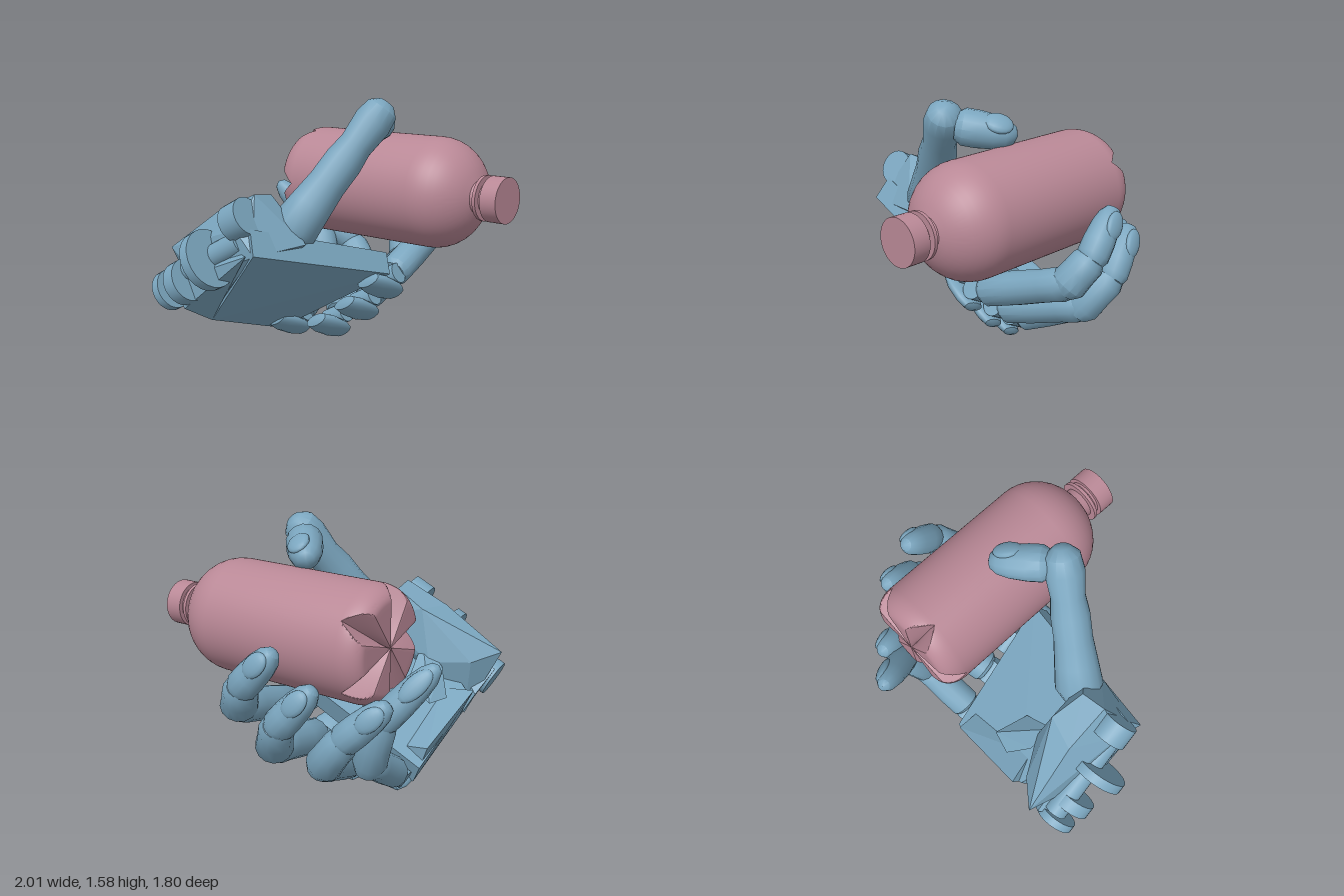
import * as THREE from 'three';
import { toCreasedNormals } from 'three/addons/utils/BufferGeometryUtils.js';
import { ConvexGeometry } from 'three/addons/geometries/ConvexGeometry.js';

const V = (p) => new THREE.Vector3(...p);
const blue = new THREE.MeshStandardMaterial({ color: 0x7ba6bf });
const pink = new THREE.MeshStandardMaterial({ color: 0xb98896 });

// Directions of the hand: across the knuckles, and out of the palm
const ACROSS = V([0.1, 0.47, 0.87]).normalize();
const PALM = V([0.31, 0.835, -0.455]).normalize();

function mesh(name, geometry, material = blue) {
  const m = new THREE.Mesh(geometry, material);
  m.name = name;
  return m;
}

function hull(name, points) {
  return mesh(name, new ConvexGeometry(points.map(V)));
}

function lathe(profile, sides, crease = 0.6) {
  const g = new THREE.LatheGeometry(profile.map((p) => new THREE.Vector2(...p)), sides);
  return toCreasedNormals(g, crease);
}

// Group at a, with y along the bone to b and z towards the outside of the finger
function bone(name, a, b, outward) {
  const g = new THREE.Group();
  const y = b.clone().sub(a).normalize();
  const z = outward.clone().addScaledVector(y, -outward.dot(y)).normalize();
  const x = y.clone().cross(z);
  g.quaternion.setFromRotationMatrix(new THREE.Matrix4().makeBasis(x, y, z));
  g.position.copy(a);
  g.name = name;
  return g;
}

// Round segment; profile gives [radius, fraction of length]
function segment(name, a, b, outward, profile, depth = 1) {
  const g = bone(name, a, b, outward);
  const len = a.distanceTo(b);
  const m = mesh(name + 'Shell', lathe(profile.map(([r, t]) => [r, t * len]), 14, 0.7));
  m.scale.z = depth;
  g.add(m);
  return g;
}

// Fingertip with a nail plate
function tip(name, a, b, outward, r) {
  const g = segment(name, a, b, outward,
    [[0, -0.12], [r * 0.8, -0.1], [r * 1.05, 0.05], [r * 1.05, 0.35], [r * 0.95, 0.72],
      [r * 0.77, 0.97], [r * 0.45, 1.13], [0, 1.18]], 0.95);
  const nail = mesh('nail', new THREE.SphereGeometry(1, 16, 10));
  const len = a.distanceTo(b);
  nail.scale.set(r * 0.68, len * 0.31, r * 0.3);
  nail.position.set(0, len * 0.76, r * 0.7);
  nail.rotation.x = -0.14;
  g.add(nail);
  return g;
}

// Pin or plate whose axis crosses the hand
function pin(name, p, r, len) {
  const m = mesh(name, toCreasedNormals(new THREE.CylinderGeometry(r, r, len, 24), 0.6));
  m.quaternion.setFromUnitVectors(new THREE.Vector3(0, 1, 0), ACROSS);
  m.position.copy(p);
  return m;
}

function finger(name, points, outward, r) {
  const g = new THREE.Group();
  g.name = name;
  const [mcp, pip, dip, end] = points.map(V);
  const out = V(outward);
  const start = mcp.clone().lerp(pip, 0.07);
  g.add(segment('proximal', start, pip, PALM.clone().negate(),
    [[0, 0], [r * 0.8, 0], [r, 0.05], [r * 1.02, 0.4], [r * 0.97, 0.75], [r, 0.93],
      [r * 0.8, 1.06], [0, 1.12]], 0.92));
  g.add(segment('middle', pip, dip, out,
    [[0, -0.3], [r * 0.7, -0.25], [r, 0], [r * 0.94, 0.45], [r * 0.92, 0.85], [r * 0.7, 1.05], [0, 1.1]]));
  g.add(tip('fingertip', dip, end, out, r * 0.83));
  g.add(pin('knucklePin', mcp, r * 0.6, r * 1.5));
  // Tongue of the hand's back that covers the knuckle
  const dir = pip.clone().sub(mcp).normalize();
  const from = mcp.clone().addScaledVector(V([0.93, -0.33, 0.1]), -0.17).addScaledVector(PALM, -r * 0.6);
  const to = mcp.clone().addScaledVector(dir, 0.01).addScaledVector(PALM, -r * 0.95);
  g.add(segment('knuckleGuard', from, to, PALM,
    [[0, -0.3], [r * 0.8, -0.2], [r, 0.2], [r * 0.95, 0.8], [r * 0.7, 1.12], [0, 1.25]], 0.45));
  return g;
}

function buildHand() {
  const hand = new THREE.Group();
  hand.name = 'hand';

  // Palm slab: back corners, then the same corners lifted towards the palm side
  const back = [[-0.82, 0.75, 0.08], [0.15, 0.5, 0.25], [0.02, 0.03, -0.55], [-0.6, 0.23, -0.52]];
  const lift = [0.16, 0.14, 0.15, 0.22];
  const front = back.map((p, i) => V(p).addScaledVector(PALM, lift[i]).toArray());
  hand.add(hull('palm', [...back, ...front]));

  // Raised outer edge of the palm
  hand.add(hull('palmEdge', [[-0.55, 0.25, -0.54], [0.01, 0.05, -0.56], [-0.5, 0.47, -0.66],
    [0.02, 0.27, -0.64], [-0.45, 0.46, -0.46], [0.02, 0.25, -0.5]]));

  // Heel of the hand
  hand.add(hull('palmHeel', [[-0.8, 0.74, 0.06], [-0.62, 0.25, -0.54], [-0.65, 1.05, -0.08],
    [-0.5, 1.03, -0.1], [-0.46, 0.94, -0.3], [-0.66, 0.93, -0.36], [-0.42, 0.86, 0], [-0.72, 0.67, -0.73],
    [-0.56, 0.62, -0.6], [-0.42, 0.62, -0.38], [-0.8, 0.87, -0.08], [-0.45, 0.76, 0.12],
    [-0.8, 0.55, -0.4]]));
  hand.add(hull('palmRib', [[-0.48, 0.72, -0.3], [-0.45, 0.6, -0.46], [-0.27, 0.52, -0.32],
    [-0.2, 0.45, -0.52], [-0.34, 0.45, -0.56], [-0.4, 0.5, -0.3]]));

  // Wrist block and its hinge plates
  hand.add(hull('wristBlock', [[-0.6, 0.23, -0.52], [-0.84, 0.36, -0.48], [-0.82, 0.74, 0.02],
    [-0.74, 0.54, -0.68], [-0.84, 0.5, -0.6], [-0.7, 0.75, -0.3], [-0.6, 0.4, -0.62]]));
  const plates = [[[-0.75, 0.92, -0.09], 0.11, 0.13], [[-0.83, 0.68, -0.28], 0.175, 0.06],
    [[-0.83, 0.52, -0.48], 0.13, 0.08], [[-0.83, 0.45, -0.61], 0.12, 0.05]];
  for (const [p, r, w] of plates) hand.add(pin('wristPlate', V(p), r, w));
  hand.add(pin('wristAxle', V([-0.78, 0.66, -0.34]), 0.07, 0.6));

  // Four fingers: knuckle, middle joint, end joint, tip
  hand.add(
    finger('indexFinger', [[0.24, 0.45, 0.17], [0.83, 0.65, 0.08], [0.915, 0.8, -0.01], [0.89, 1.0, -0.19]], [1, -0.1, 0.3], 0.106),
    finger('middleFinger', [[0.23, 0.28, -0.01], [0.78, 0.44, -0.12], [0.89, 0.62, -0.23], [0.85, 0.83, -0.41]], [1, -0.1, 0.2], 0.106),
    finger('ringFinger', [[0.19, 0.14, -0.21], [0.63, 0.33, -0.34], [0.66, 0.52, -0.49], [0.585, 0.72, -0.69]], [1, 0.1, -0.2], 0.106),
    finger('littleFinger', [[0.11, 0.11, -0.48], [0.46, 0.33, -0.53], [0.5, 0.61, -0.63], [0.365, 0.885, -0.84]], [1, 0.3, -0.2], 0.1));

  // Thumb
  const thumb = new THREE.Group();
  thumb.name = 'thumb';
  const base = V([-0.4, 0.83, -0.02]);
  const knuckle = V([0.02, 1.45, 0.24]);
  const up = V([0.4, 0.9, 0.4]);
  thumb.add(segment('thumbShaft', base, knuckle, up,
    [[0, -0.16], [0.1, -0.13], [0.145, 0], [0.13, 0.2], [0.115, 0.4], [0.115, 0.6], [0.1, 0.75],
      [0.115, 0.95], [0.1, 1.07], [0.05, 1.13], [0, 1.14]]));
  thumb.add(tip('thumbTip', V([0.1, 1.415, 0.18]), V([0.31, 1.375, 0.01]), up, 0.105));
  hand.add(thumb);
  return hand;
}

function buildBottle() {
  const bottle = new THREE.Group();
  bottle.name = 'bottle';
  const R = 0.335;

  // Body profile: base, rounded rim, straight wall, dome, neck
  const pts = [];
  for (let i = 0; i <= 8; i++) pts.push([0.25 * i / 8 + 1e-4, -0.61]);
  for (let i = 1; i <= 14; i++) {
    const a = i / 14 * Math.PI / 2;
    pts.push([0.25 + 0.085 * Math.sin(a), -0.61 + 0.13 * (1 - Math.cos(a))]);
  }
  for (let i = 0; i <= 9; i++) {
    const a = i / 9 * 1.27;
    pts.push([R * Math.cos(a), 0.42 + 0.305 * Math.sin(a)]);
  }
  pts.push([0.098, 0.715], [0.098, 0.81]);
  const body = new THREE.LatheGeometry(pts.map((p) => new THREE.Vector2(...p)), 160);

  // Five wedge grooves pressed into the base
  const pos = body.attributes.position;
  const step = Math.PI * 2 / 5;
  for (let i = 0; i < pos.count; i++) {
    const x = pos.getX(i), z = pos.getZ(i), y = pos.getY(i);
    if (y > -0.47) continue;
    const a = Math.atan2(-z, x) - Math.PI / 5;
    const off = Math.abs(a - step * Math.round(a / step));
    const depth = (0.04 + 0.09 * Math.hypot(x, z) / R) * Math.max(0, 1 - off / 0.32);
    pos.setY(i, Math.max(y, -0.61 + depth));
  }
  bottle.add(mesh('bottleBody', toCreasedNormals(body, 0.45), pink));

  // Neck ring and cap
  const collar = (name, r, y0, y1) => mesh(name, lathe([[0, y0], [r, y0], [r, y1], [0, y1]], 40), pink);
  bottle.add(collar('neckRing', 0.135, 0.75, 0.77), collar('capBand', 0.11, 0.785, 0.8), collar('cap', 0.135, 0.8, 0.905));
  bottle.rotation.x = Math.PI / 2;
  bottle.position.set(0.39, 0.99, 0);
  return bottle;
}

export function createModel() {
  const model = new THREE.Group();
  model.name = 'handHoldingBottle';
  model.add(buildHand(), buildBottle());
  return model;
}
